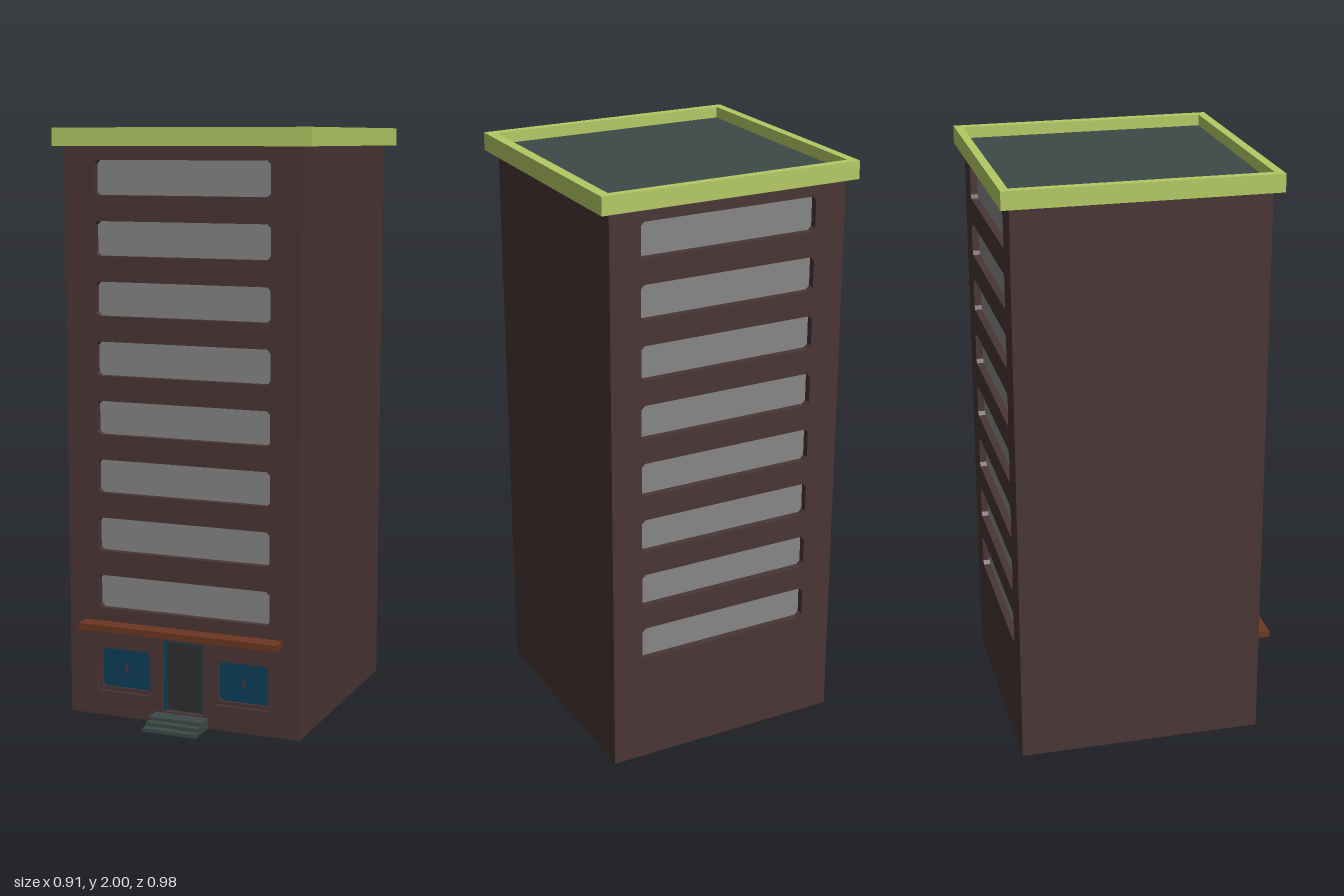
import * as THREE from 'three';

const mat = (name, color) => {
  const m = new THREE.MeshStandardMaterial({ color, side: THREE.DoubleSide });
  m.name = name;
  return m;
};

export function createModel() {
  const M = {
    wall: mat('brown wall', 0x4a3535),
    trim: mat('lime trim', 0xb4c964),
    roof: mat('dark green stone', 0x3b4a46),
    pane: mat('grey glass', 0x868686),
    shop: mat('blue glass', 0x0d3f5a),
    door: mat('dark door', 0x303030),
    awning: mat('rust canopy', 0x6c3620),
  };
  const X0 = -0.425, X1 = 0.415, Z0 = -0.46, Z1 = 0.38, WALL_TOP = 1.95, DEPTH = 0.03;
  const building = new THREE.Group();
  building.name = 'officeTower';

  const add = (name, geometry, material) => {
    const mesh = new THREE.Mesh(geometry, material);
    mesh.name = name;
    building.add(mesh);
    return mesh;
  };
  // Box given by its two extreme corners
  const box = (name, material, x0, x1, y0, y1, z0, z1) => {
    const mesh = add(name, new THREE.BoxGeometry(x1 - x0, y1 - y0, z1 - z0), material);
    mesh.position.set((x0 + x1) / 2, (y0 + y1) / 2, (z0 + z1) / 2);
    return mesh;
  };
  // Rectangle with corners cut by c
  const outline = (Type, x0, x1, y0, y1, c = 0) => {
    const p = c
      ? [[x0 + c, y0], [x1 - c, y0], [x1, y0 + c], [x1, y1 - c], [x1 - c, y1], [x0 + c, y1], [x0, y1 - c], [x0, y0 + c]]
      : [[x0, y0], [x1, y0], [x1, y1], [x0, y1]];
    return new Type(p.map(([x, y]) => new THREE.Vector2(x, y)));
  };
  const extrude = (shape, depth) => new THREE.ExtrudeGeometry(shape, { depth, bevelEnabled: false });

  // Front and back walls with eight rows of ribbon windows
  const rows = Array.from({ length: 8 }, (_, i) => 0.38 + i * 0.2);
  const shopWindows = [[-0.325, -0.12], [0.11, 0.31]];
  const entrance = [-0.08, 0.068, 0.04, 0.288];
  const facade = (front) => {
    const shape = outline(THREE.Shape, X0, X1, 0, WALL_TOP);
    rows.forEach((y) => shape.holes.push(outline(THREE.Path, -0.315, 0.308, y, y + 0.115, 0.012)));
    if (front) {
      shopWindows.forEach(([a, b]) => shape.holes.push(outline(THREE.Path, a, b, 0.085, 0.245)));
      shape.holes.push(outline(THREE.Path, ...entrance));
    }
    const side = front ? 'front' : 'back';
    add(side + 'Wall', extrude(shape, DEPTH), M.wall).position.z = front ? Z1 - DEPTH : Z0;
    const z = front ? Z1 - DEPTH : Z0 + DEPTH - 0.006;
    rows.forEach((y) => box(side + 'Window', M.pane, -0.32, 0.313, y - 0.004, y + 0.119, z, z + 0.006));
  };
  facade(true);
  facade(false);

  // Plain side walls, open underneath
  for (const [name, x, turn] of [['leftWall', X1, 1], ['rightWall', X0, -1]]) {
    const wall = add(name, new THREE.PlaneGeometry(Z1 - Z0, WALL_TOP), M.wall);
    wall.rotation.y = turn * Math.PI / 2;
    wall.position.set(x, WALL_TOP / 2, (Z0 + Z1) / 2);
  }

  // Shop windows: inner frame around blue glass
  for (const [a, b] of shopWindows) {
    const frame = outline(THREE.Shape, a, b, 0.085, 0.245);
    frame.holes.push(outline(THREE.Path, a + 0.012, b - 0.012, 0.098, 0.234, 0.01));
    add('shopWindowFrame', extrude(frame, 0.01), M.wall).position.z = Z1 - 0.025;
    box('shopWindowGlass', M.shop, a, b, 0.085, 0.245, Z1 - DEPTH, Z1 - DEPTH + 0.006);
    const mid = (a + b) / 2;
    box('windowLatch', M.wall, mid - 0.004, mid + 0.004, 0.15, 0.18, Z1 - 0.024, Z1 - 0.018);
  }

  // Door with thin blue surround
  const [dx0, dx1, dy0, dy1] = entrance;
  const surround = outline(THREE.Shape, dx0, dx1, dy0, dy1);
  surround.holes.push(outline(THREE.Path, dx0 + 0.007, dx1 - 0.007, dy0, dy1 - 0.007));
  add('doorSurround', extrude(surround, 0.012), M.shop).position.z = Z1 - 0.025;
  box('door', M.door, dx0, dx1, dy0, dy1, Z1 - DEPTH, Z1 - DEPTH + 0.006);

  // Entrance steps and canopy
  [0.49, 0.462, 0.436].forEach((z, i) =>
    box('step', M.roof, -0.105, 0.088, i * 0.012, (i + 1) * 0.012, Z1, z));
  box('canopy', M.awning, -0.365, 0.355, 0.313, 0.335, Z1, 0.44);

  // Roof trim ring and sunken deck
  const ring = outline(THREE.Shape, -0.455, 0.453, -0.41, 0.49);
  ring.holes.push(outline(THREE.Path, -0.425, 0.418, -0.38, 0.462));
  const trim = add('roofTrim', extrude(ring, 0.06), M.trim);
  trim.rotation.x = -Math.PI / 2;
  trim.position.y = 1.94;
  box('roofDeck', M.roof, -0.425, 0.418, 1.945, 1.962, -0.462, 0.38);

  return building;
}
